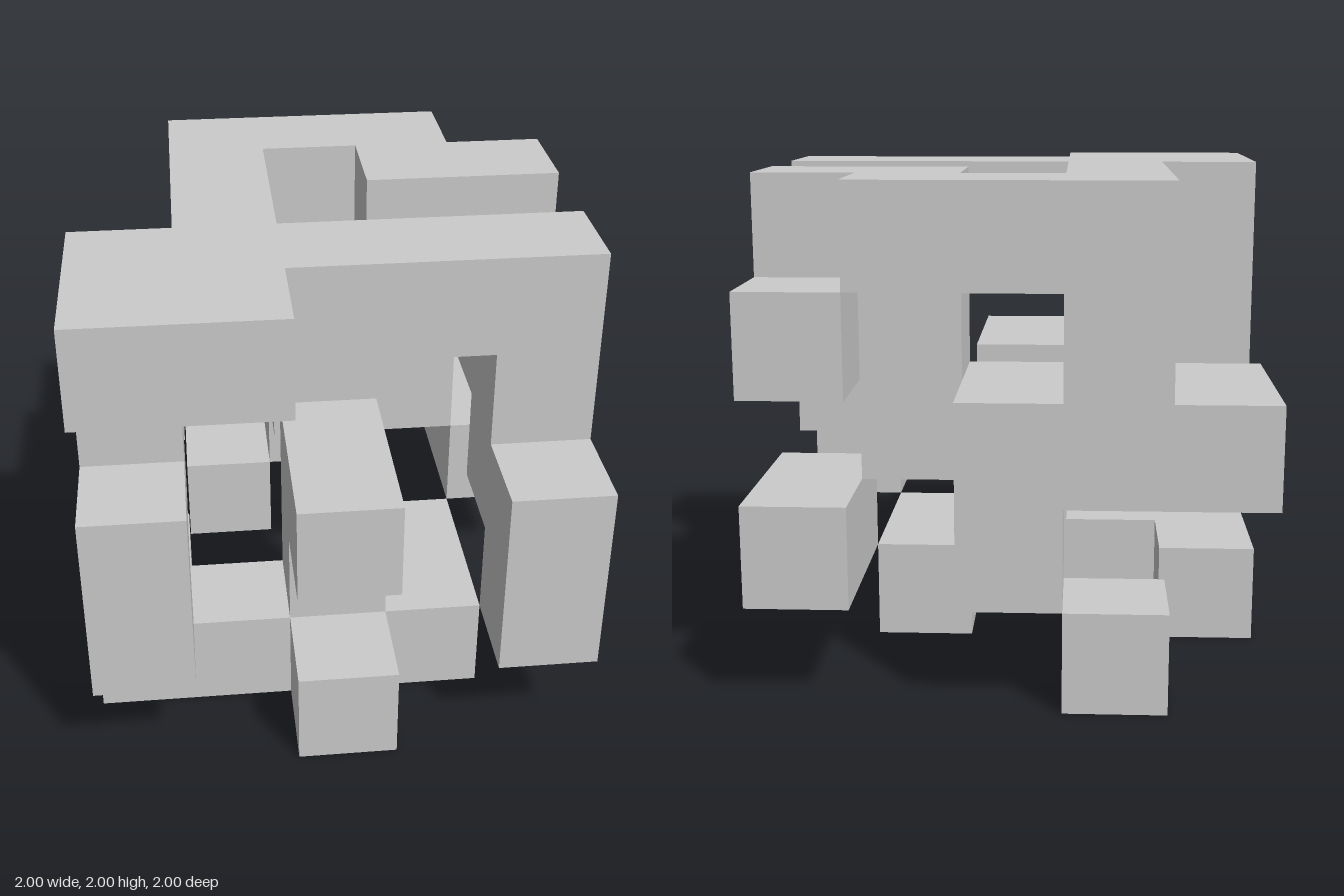
import * as THREE from 'three';

const CELL = 0.4; // the puzzle sits on a 5 x 5 x 5 grid of cells

// Each bar: name, then first and last cell along x (right to left side),
// y (bottom to top) and depth (front to back).
const BARS = [
  // top frame
  ['topFrontBeam', [0, 4], [4, 4], [1, 1]],
  ['topFrontLedge', [0, 1], [4, 4], [0, 0]],
  ['topSpine', [1, 1], [4, 4], [2, 4]],
  ['topBackBeam', [2, 3], [4, 4], [4, 4]],
  ['topSideArm', [3, 4], [4, 4], [3, 3]],
  // left side
  ['leftPost', [4, 4], [2, 3], [1, 1]],
  ['leftHook', [4, 4], [3, 3], [2, 2]],
  ['leftFrontBlock', [4, 4], [1, 2], [0, 0]],
  ['leftBackBar', [4, 4], [1, 1], [3, 4]],
  ['leftBackCube', [4, 4], [3, 3], [4, 4]],
  // right side
  ['rightPost', [0, 0], [2, 3], [1, 1]],
  ['rightFrontBlock', [0, 0], [1, 2], [0, 0]],
  ['rightBackBar', [0, 0], [2, 2], [3, 4]],
  // inside and back
  ['innerPost', [3, 3], [2, 3], [3, 3]],
  ['innerLink', [2, 2], [2, 2], [3, 3]],
  ['backPost', [1, 1], [2, 3], [4, 4]],
  ['backBlock', [2, 2], [1, 2], [4, 4]],
  ['centreBar', [2, 2], [2, 2], [0, 1]],
  ['centrePost', [2, 2], [1, 1], [1, 1]],
  // base
  ['baseBeam', [0, 3], [0, 0], [1, 1]],
  ['baseRightFoot', [0, 0], [0, 0], [2, 2]],
  ['baseLeftFoot', [3, 3], [0, 0], [2, 2]],
  ['baseFrontFoot', [2, 2], [0, 0], [0, 0]],
  ['baseBackCube', [1, 1], [0, 0], [4, 4]],
];

export function createModel() {
  const model = new THREE.Group();
  model.name = 'blockPuzzle';
  const material = new THREE.MeshStandardMaterial({ color: 0xcccccc, flatShading: true });

  const size = ([a, b]) => (b - a + 1) * CELL;
  const middle = ([a, b]) => ((a + b + 1) / 2) * CELL;

  for (const [name, x, y, depth] of BARS) {
    const bar = new THREE.Mesh(new THREE.BoxGeometry(size(x), size(y), size(depth)), material);
    bar.position.set(middle(x) - 1, middle(y), 1 - middle(depth));
    bar.name = name;
    model.add(bar);
  }
  return model;
}
